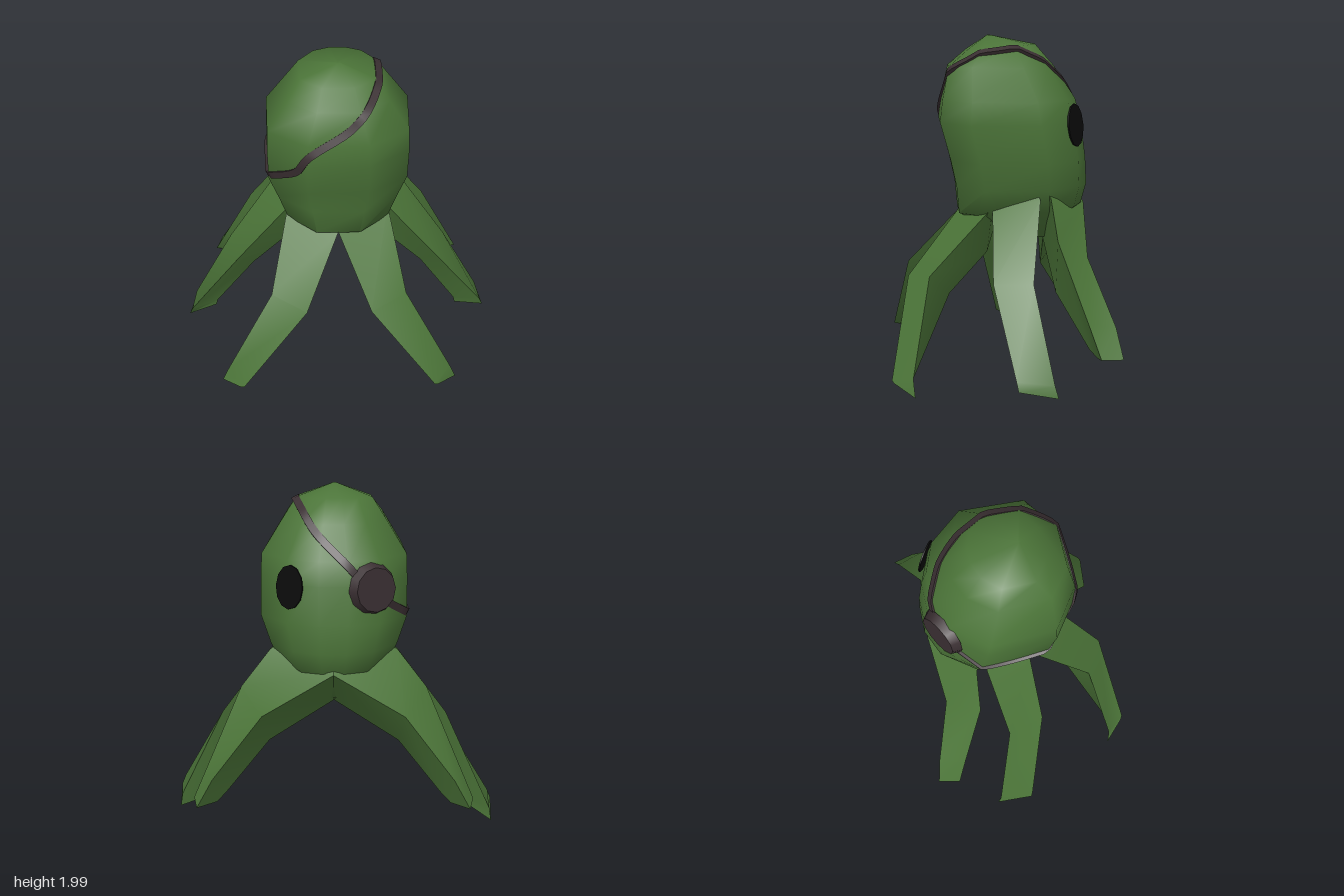
import * as THREE from 'three';
import { toCreasedNormals } from 'three/addons/utils/BufferGeometryUtils.js';

const V = (x, y, z) => new THREE.Vector3(x, y, z);

// Skin through a list of cross-sections (each a list of corner points).
function loft(rings, closed = false) {
  const n = rings[0].length;
  const mid = (r) => r.reduce((s, p) => s.add(p), V(0, 0, 0)).divideScalar(n);
  // turn the corners so that the faces point outwards
  const [a, b, c] = rings[1];
  const facing = b.clone().sub(a).cross(c.clone().sub(a));
  if (facing.dot(mid(rings[2]).sub(mid(rings[1]))) < 0) rings = rings.map((r) => [...r].reverse());
  const points = rings.flat();
  const index = [];
  const last = rings.length - 1;
  for (let i = 0; i < (closed ? rings.length : last); i++) {
    const k = (i + 1) % rings.length;
    for (let j = 0; j < n; j++) {
      const m = (j + 1) % n;
      index.push(i * n + j, i * n + m, k * n + m, i * n + j, k * n + m, k * n + j);
    }
  }
  if (!closed) {
    const p = points.push(mid(rings[0]), mid(rings[last])) - 2;
    for (let j = 0; j < n; j++) {
      const m = (j + 1) % n;
      index.push(p, m, j, p + 1, last * n + j, last * n + m);
    }
  }
  const g = new THREE.BufferGeometry().setFromPoints(points);
  g.setIndex(index);
  return toCreasedNormals(g, 1.05);
}

export function createModel() {
  const group = new THREE.Group();
  const material = (name, color) => {
    const m = new THREE.MeshStandardMaterial({ color });
    m.name = name;
    return m;
  };
  const green = material('green skin', 0x4b7438);
  const brown = material('dark brown leather', 0x392e31);
  const black = material('black eye', 0x0a0a0a);
  const add = (name, geometry, mat) => {
    const mesh = new THREE.Mesh(geometry, mat);
    mesh.name = name;
    group.add(mesh);
    return mesh;
  };

  // Head and body: rings of [height, back z, face z, half width, slope along z]
  const profile = [
    [0.79, -0.2, -0.31, 0.06, 0],
    [0.88, 0.08, -0.4, 0.17, 0],
    [0.98, 0.235, -0.5, 0.31, -0.06],
    [1.12, 0.25, -0.53, 0.365, 0],
    [1.28, 0.285, -0.52, 0.42, 0],
    [1.5, 0.345, -0.49, 0.42, 0],
    [1.63, 0.33, -0.455, 0.415, 0],
    [1.82, 0.29, -0.33, 0.295, 0],
    [1.93, 0.18, -0.22, 0.22, -0.08],
    [1.998, 0.06, 0.04, 0.01, 0],
  ];
  // half of the plan outline, from the back round to the face
  const half = [[0.41, 1], [0.96, 0.6], [1, -0.35], [0.62, -0.83], [0.2, -1]];
  const plan = [...half, ...half.map(([x, z]) => [-x, z]).reverse()];
  const headRings = profile.map(([y, back, face, rx, slope]) => plan.map(([px, pz]) => {
    const z = pz * (back - face) / 2;
    return V(px * rx, y + slope * z, z + (back + face) / 2);
  }));
  const head = add('head', loft(headRings), green);

  // Tentacles: triangular sections (two upper edges and an under edge)
  const tentacles = {
    backTentacle: [
      [[0.0, 0.96, 0.235], [0.3, 1.02, 0.05], [0.12, 0.72, 0.07]],
      [[0.19, 0.6, 0.54], [0.4, 0.64, 0.42], [0.24, 0.5, 0.3]],
      [[0.58, 0.09, 0.64], [0.68, 0.13, 0.52], [0.59, 0.09, 0.54]],
      [[0.6, 0.08, 0.63], [0.72, 0.03, 0.51], [0.62, 0.08, 0.56]],
    ],
    sideTentacle: [
      [[0.3, 1.01, 0.05], [0.37, 1.07, -0.22], [0.22, 0.77, -0.1]],
      [[0.61, 0.64, 0.07], [0.67, 0.65, -0.15], [0.53, 0.5, -0.06]],
      [[0.93, 0.18, -0.03], [0.92, 0.15, -0.24], [0.77, 0.12, -0.12]],
      [[0.95, 0.13, -0.04], [0.93, 0.08, -0.26], [0.78, 0.08, -0.12]],
    ],
    faceTentacle: [
      [[0.0, 1.0, -0.525], [0.37, 1.08, -0.28], [0.0, 0.77, -0.28]],
      [[0.41, 0.74, -0.49], [0.54, 0.86, -0.3], [0.38, 0.53, -0.31]],
      [[0.69, 0.4, -0.61], [0.73, 0.43, -0.45], [0.63, 0.26, -0.47]],
      [[0.78, 0.24, -0.64], [0.81, 0.25, -0.51], [0.68, 0.22, -0.51]],
    ],
  };
  const core = V(0, 1.32, -0.12);
  for (const [name, sections] of Object.entries(tentacles)) {
    for (const side of [1, -1]) {
      const rings = sections.map((s, i) => s.map(([x, y, z], corner) => {
        // the right side tentacle hangs a little lower at its outer edges
        const low = name === 'sideTentacle' && side < 0 && i > 1;
        const drop = low ? (corner === 2 ? 0.02 : 0.075) : 0;
        const spread = low ? 0.02 : 0;
        return V(x * side - spread, y - drop, z - spread * 1.5);
      }));
      // shoulder section running up into the head
      rings.unshift(rings[0].map((p) => p.clone().lerp(core, 0.27)));
      add((side > 0 ? 'left ' : 'right ') + name, loft(rings), green);
    }
  }

  // Find the head surface in the direction of a point
  const centre = V(0, 1.48, -0.06);
  const caster = new THREE.Raycaster();
  const onHead = (p) => {
    const out = p.clone().sub(centre).normalize();
    caster.set(centre.clone().addScaledVector(out, 2), out.clone().negate());
    const hit = caster.intersectObject(head)[0];
    return { out, point: hit ? hit.point : p.clone() };
  };

  // Eye patch strap: a flat band wrapped diagonally round the head
  const route = new THREE.CatmullRomCurve3([
    V(-0.2, 1.48, -0.45), V(-0.07, 1.62, -0.46), V(0.1, 1.78, -0.36), V(0.2, 1.91, -0.18),
    V(0.23, 1.92, 0.05), V(0.18, 1.84, 0.22), V(0.07, 1.73, 0.32), V(-0.17, 1.56, 0.34),
    V(-0.25, 1.43, 0.3), V(-0.4, 1.31, 0.12), V(-0.42, 1.28, -0.1), V(-0.33, 1.36, -0.32),
  ], true);
  const count = 60;
  const strap = Array.from({ length: count }, (_, i) => {
    const { out, point } = onHead(route.getPointAt(i / count));
    const across = route.getTangentAt(i / count).cross(out).normalize();
    return [[-1, -0.015], [1, -0.015], [1, 0.01], [-1, 0.01]].map(([w, h]) =>
      point.clone().addScaledVector(across, w * 0.022).addScaledVector(out, h));
  });
  add('eye patch strap', loft(strap, true), brown);

  // Eye and eye patch: discs laid on the face
  const disc = (name, place, normal, top, base, depth, lift, width, mat) => {
    const n = normal.normalize();
    const mesh = add(name, new THREE.CylinderGeometry(top, base, depth, 12).rotateX(Math.PI / 2), mat);
    mesh.position.copy(onHead(place).point).addScaledVector(n, lift);
    mesh.lookAt(mesh.position.clone().add(n));
    mesh.scale.x = width;
  };
  disc('left eye', V(0.235, 1.485, -0.42), V(0.57, 0.1, -0.81), 0.125, 0.125, 0.009, 0.008, 0.74, black);
  disc('eye patch', V(-0.22, 1.475, -0.43), V(-0.5, 0.08, -0.86), 0.125, 0.15, 0.05, 0.004, 1, brown);

  return group;
}
